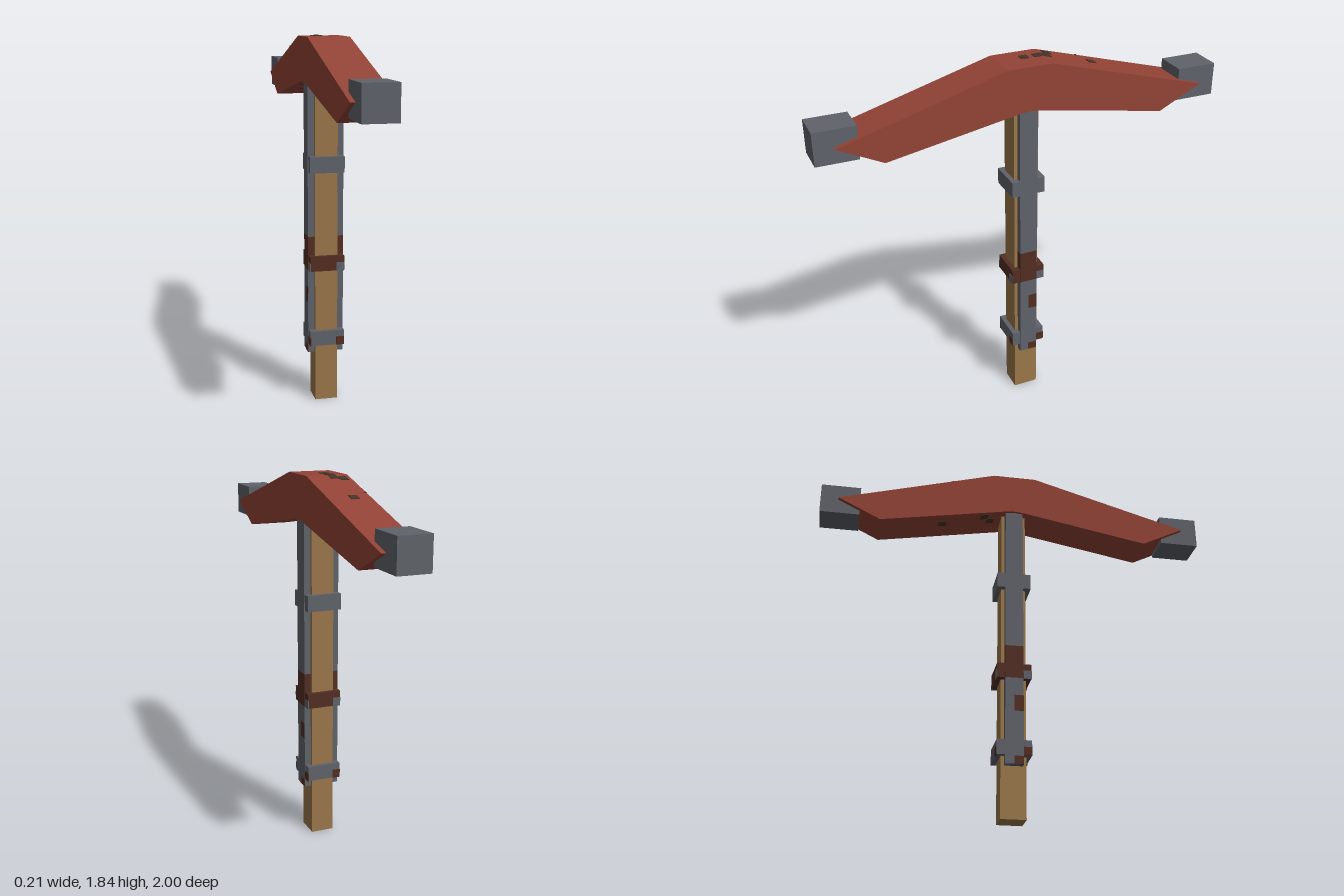
import * as THREE from 'three';

export function createModel() {
  const root = new THREE.Group();
  root.name = 'pickaxe';
  const mat = (name, color) => {
    const m = new THREE.MeshStandardMaterial({ color });
    m.name = name;
    return m;
  };
  const red = mat('red paint', 0x934336);
  const steel = mat('grey steel', 0x5f6269);
  const wood = mat('wood', 0x9a764a);
  const rust = mat('rust', 0x522e23);
  const chip = mat('chipped paint', 0x43342a);

  // Box given by its min and max corners
  const box = (name, material, [x0, y0, z0], [x1, y1, z1], parent = root) => {
    const mesh = new THREE.Mesh(new THREE.BoxGeometry(x1 - x0, y1 - y0, z1 - z0), material);
    mesh.position.set((x0 + x1) / 2, (y0 + y1) / 2, (z0 + z1) / 2);
    mesh.name = name;
    parent.add(mesh);
    return mesh;
  };

  // Wooden handle
  box('handle', wood, [-0.057, 0, -0.062], [0.057, 1.64, 0.062]);

  // Long side straps with a rusted stretch, built on +x and turned for -x
  for (const turn of [0, Math.PI]) {
    const side = new THREE.Group();
    side.name = turn ? 'rightStrap' : 'leftStrap';
    side.rotation.y = turn;
    root.add(side);
    const segments = [[0.255, 0.69, steel], [0.69, 0.86, rust], [0.86, 1.63, steel]];
    for (const [y0, y1, m] of segments) {
      box('strapSection', m, [0.055, y0, -0.045], [0.09, y1, 0.045], side);
    }
    for (const [y0, y1] of [[0.255, 0.295], [0.52, 0.6]]) {
      box('strapRustSpot', rust, [0.088, y0, -0.045], [0.0915, y1, 0], side);
    }
  }

  // Bands around the handle, with a spot in the corner of each face
  const bands = [[0.3, 0.375, steel, rust], [0.69, 0.765, rust, steel], [1.185, 1.265, steel, null]];
  for (const [y0, y1, m, spot] of bands) {
    box('band', m, [-0.087, y0, -0.085], [0.087, y1, 0.085]);
    if (!spot) continue;
    for (let k = 0; k < 4; k++) {
      const face = new THREE.Group();
      face.name = 'bandSpots';
      face.rotation.y = k * Math.PI / 2;
      root.add(face);
      box('bandSpot', spot, [0.046, y0 - 0.001, 0.083], [0.086, y0 + 0.042, 0.0885], face);
    }
  }

  // Bent head, profile in z and y extruded across x
  const profile = [
    [-0.11, 1.84], [0.11, 1.84], [0.91, 1.612], [0.695, 1.505], [0.05, 1.622],
    [0, 1.627], [-0.05, 1.622], [-0.695, 1.505], [-0.91, 1.612],
  ];
  const shape = new THREE.Shape(profile.map(([z, y]) => new THREE.Vector2(z, y)));
  const headGeo = new THREE.ExtrudeGeometry(shape, { depth: 0.206, bevelEnabled: false });
  headGeo.translate(0, 0, -0.103);
  headGeo.rotateY(-Math.PI / 2);
  const head = new THREE.Mesh(headGeo, red);
  head.name = 'head';
  root.add(head);

  // Steel blocks at both ends of the head
  for (const s of [-1, 1]) {
    box('endBlock', steel, [-0.08, 1.535, s * 0.9 - 0.1], [0.08, 1.695, s * 0.9 + 0.1]);
  }

  // Paint chips lying on the top and underside of the head
  const topSlope = 0.228 / 0.8;
  const lowSlope = 0.117 / 0.645;
  const addChip = (x, z, y, slope, w = 0.04) => {
    const mesh = new THREE.Mesh(new THREE.BoxGeometry(w, 0.006, w), chip);
    mesh.position.set(x, y, z);
    mesh.rotation.x = -Math.atan(slope);
    mesh.name = 'paintChip';
    root.add(mesh);
  };
  for (const [x, z, w] of [[-0.022, -0.37], [-0.065, -0.155], [-0.022, -0.135], [-0.098, -0.325, 0.01]]) {
    addChip(x, z, 1.84 + (z + 0.11) * topSlope, topSlope, w);
  }
  for (const z of [-0.088, -0.022]) addChip(-0.022, z, 1.84, 0);
  for (const [x, z] of [[-0.022, -0.37], [-0.065, -0.155], [-0.022, -0.12]]) {
    addChip(x, z, 1.622 + (z + 0.05) * lowSlope, lowSlope);
  }
  return root;
}
